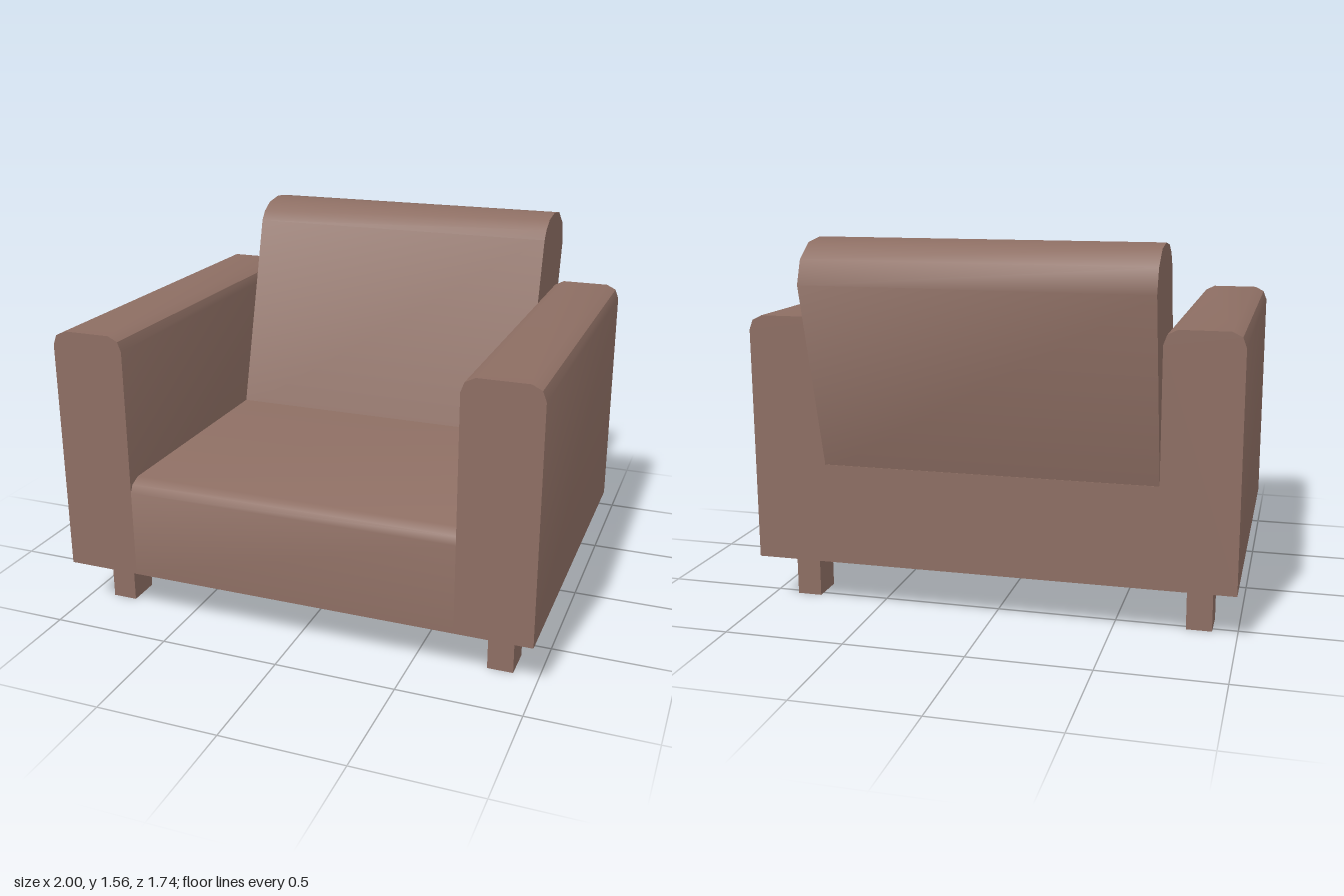
import * as THREE from 'three';
import { toCreasedNormals } from 'three/addons/utils/BufferGeometryUtils.js';

const fabric = new THREE.MeshStandardMaterial({ color: 0x8d6e63 });

// Extrude a closed profile, centred on its depth, with soft rounding and sharp corners
function extrude(points, depth) {
  const shape = new THREE.Shape(points.map(([x, y]) => new THREE.Vector2(x, y)));
  const geometry = new THREE.ExtrudeGeometry(shape, { depth, bevelEnabled: false });
  geometry.translate(0, 0, -depth / 2);
  return toCreasedNormals(geometry, THREE.MathUtils.degToRad(40));
}

// Profile given as (z, y), swept across the width
const sweepAcross = (points, width) => extrude(points, width).rotateY(-Math.PI / 2);

function addPart(group, name, geometry, x = 0, y = 0, z = 0) {
  const mesh = new THREE.Mesh(geometry, fabric);
  mesh.name = name;
  mesh.position.set(x, y, z);
  group.add(mesh);
}

export function createModel() {
  const group = new THREE.Group();
  group.name = 'armchair';
  const innerWidth = 1.38;

  // Seat with a softened front edge
  addPart(group, 'seat', sweepAcross([
    [-0.67, 0.21], [0.87, 0.21], [0.87, 0.58], [0.855, 0.61], [0.81, 0.63], [-0.67, 0.63],
  ], innerWidth));

  // Leaning backrest with a rounded top, sunk a little into the seat
  addPart(group, 'backrest', sweepAcross([
    [-0.66, 0.6], [-0.2, 0.6], [-0.45, 1.47], [-0.48, 1.51], [-0.54, 1.545],
    [-0.64, 1.56], [-0.75, 1.545], [-0.835, 1.485], [-0.87, 1.39],
  ], innerWidth));

  // Arms reach down to the base and have rounded top edges
  const arm = extrude([
    [-0.155, 0.21], [0.155, 0.21], [0.155, 1.18], [0.14, 1.22], [0.1, 1.24],
    [-0.1, 1.24], [-0.14, 1.22], [-0.155, 1.18],
  ], 1.54);
  const leg = new THREE.BoxGeometry(0.105, 0.22, 0.14);
  for (const [side, sign] of [['left', 1], ['right', -1]]) {
    addPart(group, `${side}Arm`, arm, sign * 0.845, 0, 0.1);
    addPart(group, `${side}FrontLeg`, leg, sign * 0.845, 0.11, 0.66);
    addPart(group, `${side}BackLeg`, leg, sign * 0.845, 0.11, -0.46);
  }
  return group;
}
